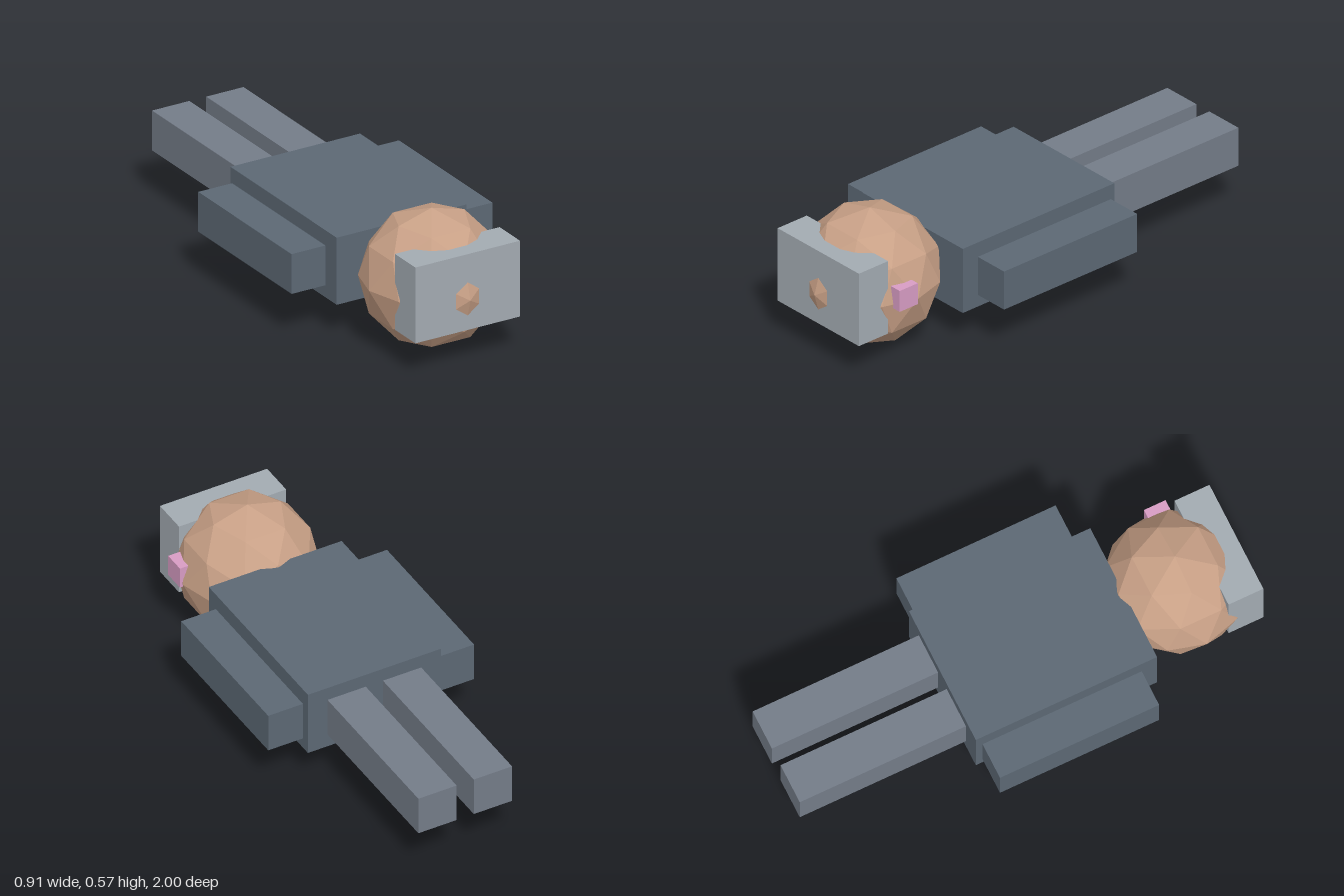
import * as THREE from 'three';

const material = (color) => new THREE.MeshStandardMaterial({ color, flatShading: true });

// Box given by its extents on each axis
function block(name, mat, [x0, x1], [y0, y1], [z0, z1]) {
  const mesh = new THREE.Mesh(new THREE.BoxGeometry(x1 - x0, y1 - y0, z1 - z0), mat);
  mesh.position.set((x0 + x1) / 2, (y0 + y1) / 2, (z0 + z1) / 2);
  mesh.name = name;
  return mesh;
}

export function createModel() {
  const model = new THREE.Group();
  model.name = 'lyingFigure';

  const skin = material(0xc8a086);
  const cloth = material(0x5c6874);
  const trousers = material(0x747c88);
  const capGrey = material(0xa3abb2);
  const pink = material(0xd89cc4);
  const shirtGrey = material(0xcccccc);
  const red = material(0xcc5555);

  // Body, face down with the head towards +z
  model.add(block('torso', cloth, [-0.295, 0.295], [0.145, 0.43], [-0.285, 0.495]));

  // Shirt front and tie on the underside
  model.add(block('shirtFront', shirtGrey, [-0.095, 0.095], [0.13, 0.16], [-0.11, 0.44]));
  model.add(block('tie', red, [-0.02, 0.02], [0.12, 0.14], [-0.045, 0.335]));

  // Arms and legs, mirrored
  for (const [side, s] of [['left', 1], ['right', -1]]) {
    const span = (a, b) => (s > 0 ? [a, b] : [-b, -a]);
    model.add(block(side + 'Arm', cloth, span(0.303, 0.457), [0.203, 0.372], [-0.26, 0.425]));
    model.add(block(side + 'Leg', trousers, span(0.038, 0.208), [0.203, 0.372], [-1, -0.28]));
  }

  // Faceted head, poking through the block on its crown
  const head = new THREE.Mesh(new THREE.IcosahedronGeometry(0.285, 1), skin);
  head.position.set(0, 0.287, 0.715);
  head.name = 'head';
  model.add(head);
  model.add(block('crownBlock', capGrey, [-0.238, 0.238], [0.155, 0.477], [0.83, 0.98]));

  // Small pink block on the left side of the head only
  model.add(block('sideClip', pink, [0.2, 0.293], [0.27, 0.363], [0.725, 0.818]));

  return model;
}
